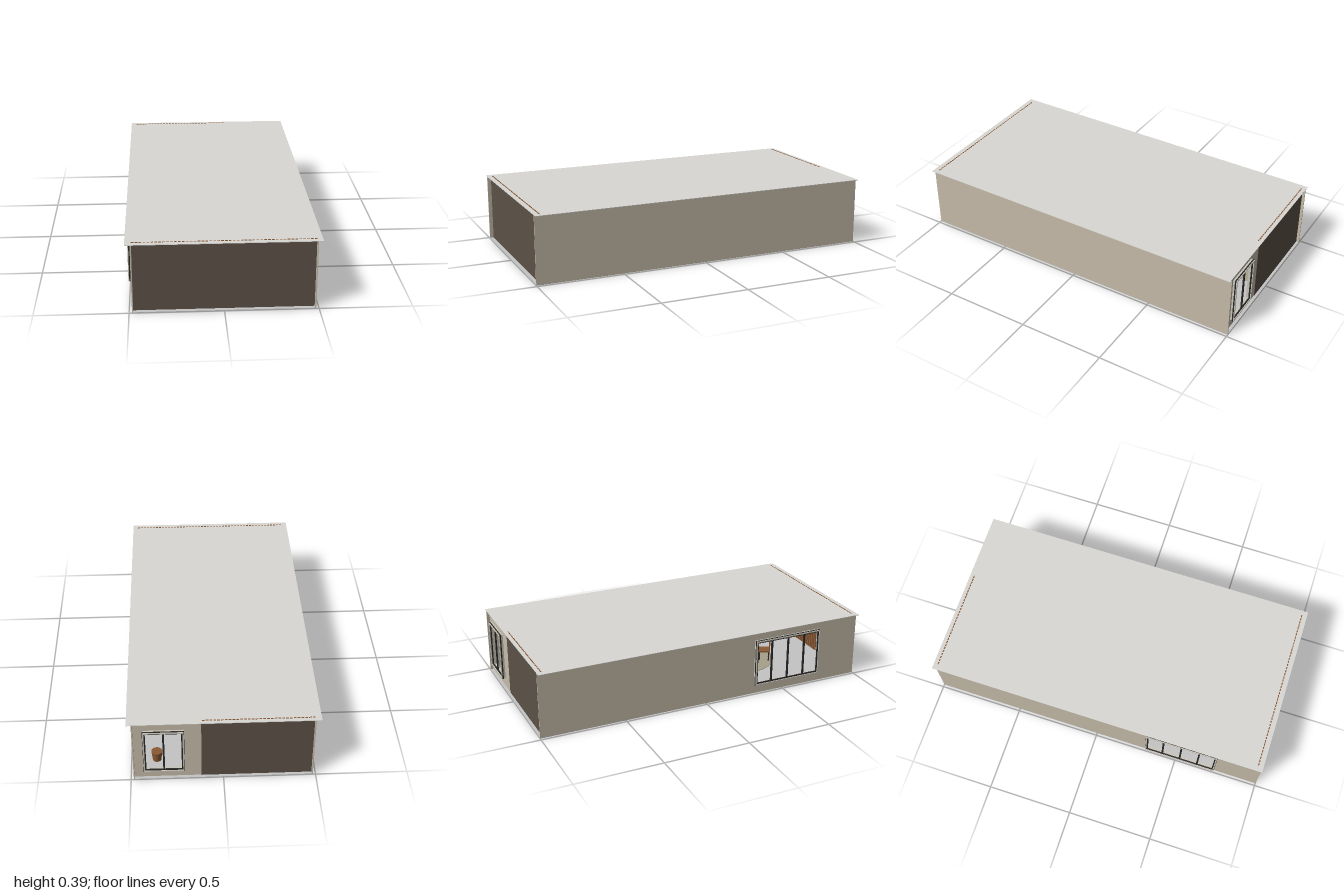
import * as THREE from 'three';

const mat = (name, color, side = THREE.FrontSide) => {
  const m = new THREE.MeshStandardMaterial({ color, side });
  m.name = name;
  return m;
};

export function createModel() {
  const wallTan = mat('wall tan', 0xc6bcaa);
  const roofGrey = mat('roof grey', 0xdad8d4);
  const accent = mat('dark accent', 0x5c5147);
  const floorGrey = mat('floor grey', 0xc4c4c4);
  const rugOlive = mat('rug olive', 0xa79f8b);
  const wood = mat('warm wood', 0x8a5a34);
  const frameDark = mat('frame charcoal', 0x2b2a28);
  const trim = mat('trim cream', 0xc9c5b9);
  const leaf = mat('leaf green', 0x4f6b3c);

  const root = new THREE.Group();
  root.name = 'house';
  const add = (name, geo, material, x = 0, y = 0, z = 0, parent = root) => {
    const m = new THREE.Mesh(geo, material);
    m.name = name;
    m.position.set(x, y, z);
    parent.add(m);
    return m;
  };
  const box = (name, w, h, d, material, x, y, z, parent) =>
    add(name, new THREE.BoxGeometry(w, h, d), material, x, y, z, parent);
  const cyl = (name, r0, r1, h, n, material, x, y, z, parent) =>
    add(name, new THREE.CylinderGeometry(r0, r1, h, n), material, x, y, z, parent);

  // Rectangle outline with an optional rectangular hole, extruded outward
  const rect = (T, u0, u1, v0, v1) => new T([
    new THREE.Vector2(u0, v0), new THREE.Vector2(u1, v0),
    new THREE.Vector2(u1, v1), new THREE.Vector2(u0, v1)]);
  const pierced = (o, h, depth) => {
    const s = rect(THREE.Shape, ...o);
    s.holes.push(rect(THREE.Path, ...h));
    return new THREE.ExtrudeGeometry(s, { depth, bevelEnabled: false });
  };
  const inset = ([a, b, c, d], t) => [a + t, b - t, c + t, d - t];

  const H = 0.389, X = 0.485;

  // Floor, roof and plain walls
  box('floor', 2 * X, 0.004, 2, floorGrey, 0, 0.003, 0);
  box('roof', 1.025, 0.003, 2, roofGrey, -0.002, 0.3895, 0);
  box('leftWall', 0.006, H, 2, wallTan, X - 0.003, H / 2, 0);
  box('frontWall', 2 * X - 0.002, H, 0.006, accent, 0, H / 2, 0.975);
  box('backAccentWall', 0.602, H, 0.006, accent, -0.183, H / 2, -0.981);

  // Wood slats lining the accent walls, their tips just through the roof
  const slats = (name, x0, x1, z) => {
    const g = new THREE.Group();
    g.name = name;
    const n = Math.round((x1 - x0) / 0.02);
    for (let i = 0; i < n; i++) {
      box('slat', 0.014, 0.388, 0.006, wood, x0 + (i + 0.5) * (x1 - x0) / n, 0.1985, z, g);
    }
    root.add(g);
  };
  slats('frontSlats', -0.484, 0.484, 0.969);
  slats('backSlats', -0.484, 0.117, -0.975);

  // Wall with a framed, multi-pane window; local +z faces outward
  const windowWall = (name, outline, open, panes, position, turn) => {
    const g = new THREE.Group();
    g.name = name;
    add('wall', pierced(outline, inset(open, 0.008), 0.006), wallTan, 0, 0, 0, g);
    add('windowTrim', pierced(inset(open, 0.002), inset(open, 0.009), 0.029), trim, 0, 0, 0, g);
    add('windowFrame', pierced(open, inset(open, 0.016), 0.007), frameDark, 0, 0, 0.017, g);
    const [u0, u1, v0, v1] = open;
    for (let i = 1; i < panes; i++) {
      box('mullion', 0.01, v1 - v0 - 0.02, 0.008, frameDark,
        u0 + (u1 - u0) * i / panes, (v0 + v1) / 2, 0.02, g);
    }
    g.position.set(...position);
    g.rotation.y = turn;
    root.add(g);
  };
  windowWall('rightWall', [-1, 1, 0, H], [0.31, 0.74, 0.055, 0.338], 4,
    [-X + 0.006, 0, 0], -Math.PI / 2);
  windowWall('backWall', [-0.484, -0.118, 0, H], [-0.43, -0.208, 0.055, 0.338], 2,
    [0, 0, -0.976], Math.PI);

  // Rugs and mats set into the floor
  cyl('loungeRug', 0.2, 0.2, 0.007, 48, rugOlive, 0, 0.0035, -0.49);
  cyl('diningRug', 0.24, 0.24, 0.007, 48, rugOlive, 0, 0.0035, 0.45);
  box('sideMat', 0.14, 0.007, 0.22, rugOlive, 0.41, 0.0035, 0.66);
  box('windowMat', 0.12, 0.007, 0.17, rugOlive, -0.417, 0.0035, 0.22);
  box('doorMat', 0.2, 0.007, 0.1, rugOlive, -0.08, 0.0035, -0.905);

  // Chair with its back away from the table centre
  const chair = (x, z, turn, s) => {
    const g = new THREE.Group();
    g.name = 'chair';
    box('seat', 0.07, 0.01, 0.07, wood, 0, 0.065, 0, g);
    box('backrest', 0.07, 0.065, 0.008, wood, 0, 0.1, 0.033, g);
    for (const i of [-1, 1]) for (const j of [-1, 1]) {
      box('leg', 0.008, 0.06, 0.008, frameDark, i * 0.029, 0.03, j * 0.029, g);
    }
    g.position.set(x, 0.001, z);
    g.rotation.y = turn;
    g.scale.setScalar(s);
    root.add(g);
  };

  // Round tables with chairs and pendant lamps
  const setting = (z, r, h, ring, count) => {
    cyl('tableTop', r, r, 0.01, 32, wood, 0, h, z);
    cyl('tableStem', 0.012, 0.03, h, 16, frameDark, 0, h / 2 + 0.002, z);
    for (let i = 0; i < count; i++) {
      const a = (i + 0.5) / count * Math.PI * 2;
      chair(Math.sin(a) * ring, z + Math.cos(a) * ring, a, 1);
    }
    cyl('lampCord', 0.002, 0.002, 0.09, 6, frameDark, 0, 0.343, z);
    cyl('lampShade', 0.015, 0.05, 0.04, 24, frameDark, 0, 0.285, z);
  };
  setting(0.45, 0.12, 0.11, 0.18, 6);
  setting(-0.49, 0.09, 0.07, 0.15, 4);

  // Potted plant by the left wall
  cyl('plantPot', 0.037, 0.028, 0.06, 20, rugOlive, 0.38, 0.031, -0.32);
  const foliage = add('foliage', new THREE.SphereGeometry(0.05, 12, 8), leaf, 0.38, 0.11, -0.32);
  foliage.scale.y = 1.3;

  // Low stool and side table behind the back window
  cyl('stool', 0.03, 0.024, 0.06, 20, wood, 0.36, 0.035, -0.85);
  box('sideCabinet', 0.08, 0.1, 0.18, wood, 0.43, 0.057, 0.66);

  return root;
}
